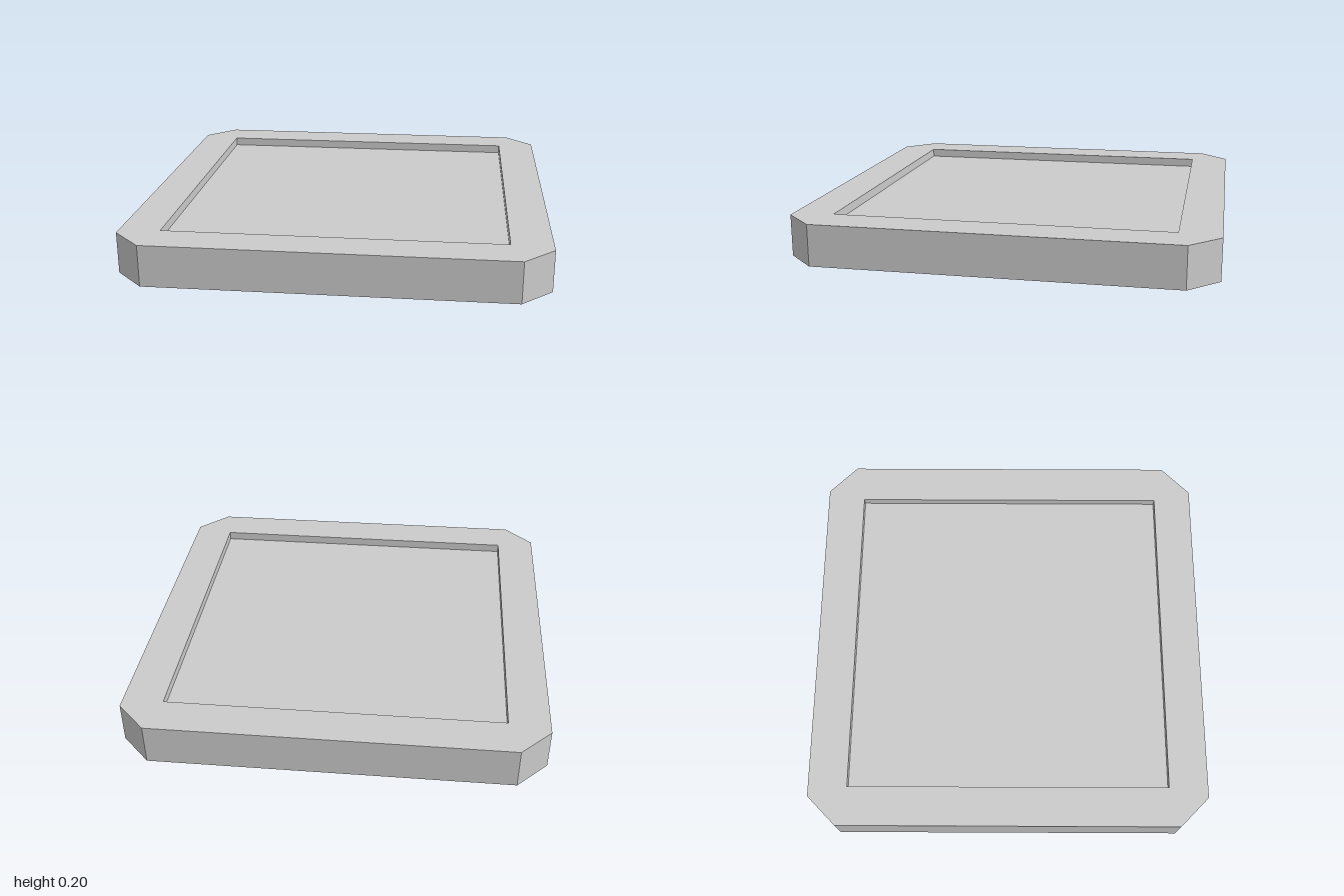
import * as THREE from 'three';

const HEIGHT = 0.2, FLOOR = 0.157, CUT = 0.855, INNER = 0.805;

// Outlines run counterclockwise seen from above, as (x, -z)
const outer = [
  [CUT, -1], [1, -CUT], [1, CUT], [CUT, 1],
  [-CUT, 1], [-1, CUT], [-1, -CUT], [-CUT, -1],
].map(([x, y]) => new THREE.Vector2(x, y));
const inner = [[1, -1], [1, 1], [-1, 1], [-1, -1]]
  .map(([x, y]) => new THREE.Vector2(x * INNER, y * INNER));

// Horizontal face at height y, facing up or down
function face(outline, y, hole, down = false) {
  const shape = new THREE.Shape(outline);
  if (hole) shape.holes.push(new THREE.Path(hole));
  return new THREE.ShapeGeometry(shape)
    .rotateX(down ? Math.PI / 2 : -Math.PI / 2)
    .translate(0, y, 0);
}

// Band of flat vertical walls along a closed outline
function walls(outline, y0, y1) {
  const pos = [];
  outline.forEach((a, i) => {
    const b = outline[(i + 1) % outline.length];
    const quad = [[a, y0], [b, y0], [b, y1], [a, y0], [b, y1], [a, y1]];
    for (const [p, y] of quad) pos.push(p.x, y, -p.y);
  });
  const geometry = new THREE.BufferGeometry();
  geometry.setAttribute('position', new THREE.Float32BufferAttribute(pos, 3));
  geometry.computeVertexNormals();
  return geometry;
}

export function createModel() {
  const model = new THREE.Group();
  model.name = 'recessedTile';
  const material = new THREE.MeshStandardMaterial({ color: 0xcccccc, flatShading: true });
  const add = (name, geometry) => {
    const mesh = new THREE.Mesh(geometry, material);
    mesh.name = name;
    model.add(mesh);
  };

  // Chamfered slab
  add('underside', face(outer, 0, null, true));
  add('outerWalls', walls(outer, 0, HEIGHT));
  add('topRim', face(outer, HEIGHT, inner));

  // Shallow square recess
  add('recessWalls', walls([...inner].reverse(), FLOOR, HEIGHT));
  add('recessFloor', face(inner, FLOOR));

  return model;
}
